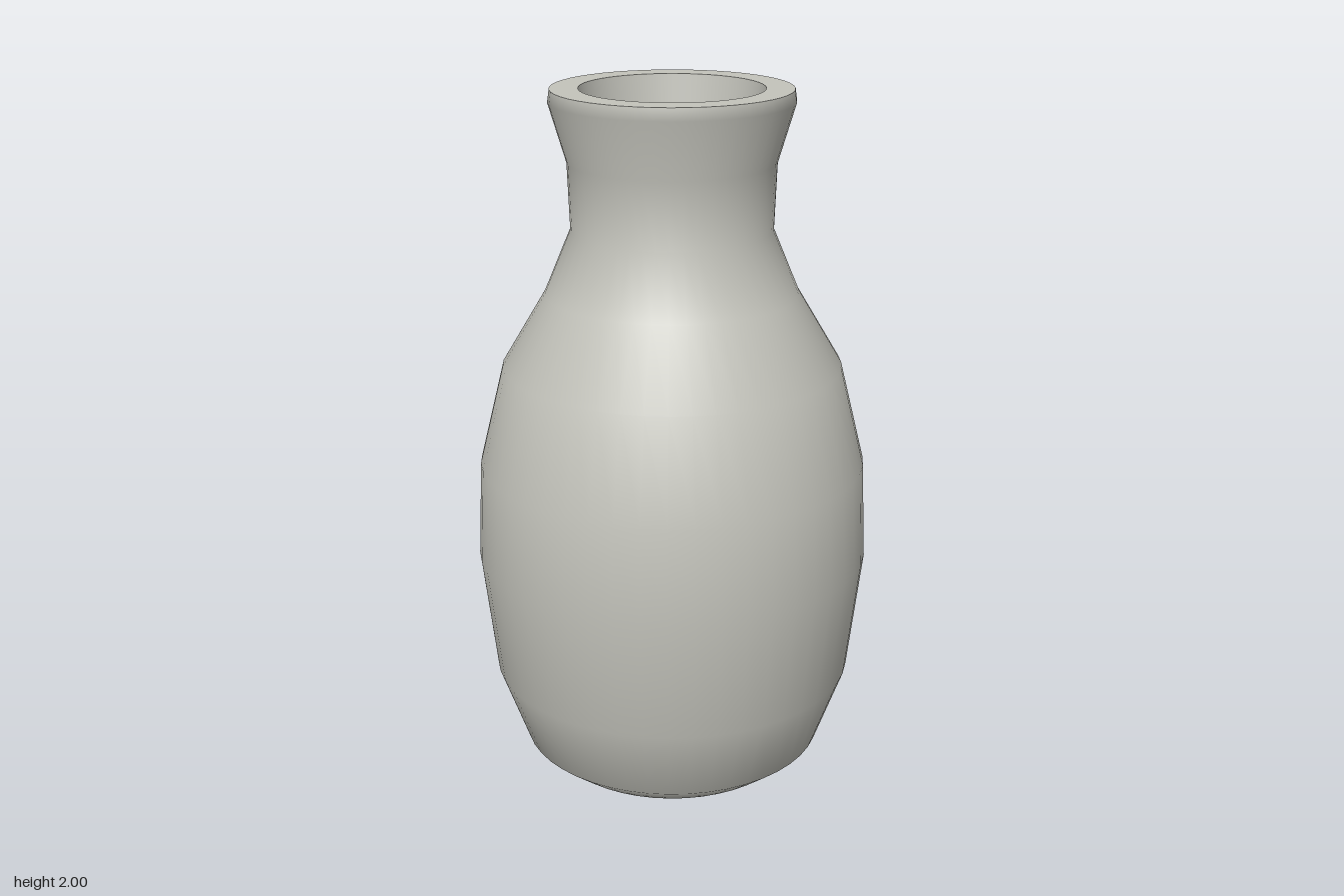
import * as THREE from 'three';

const SEGMENTS = 48;

export function createModel() {
  const group = new THREE.Group();
  group.name = 'bottle';

  const ceramic = new THREE.MeshStandardMaterial({ color: 0xc4c4bc });
  ceramic.name = 'pale grey ceramic';

  // Each part is a smooth lathe; separate parts meet at sharp edges
  const addLathe = (name, profile) => {
    const points = profile.map(([r, y]) => new THREE.Vector2(r, y));
    const mesh = new THREE.Mesh(new THREE.LatheGeometry(points, SEGMENTS), ceramic);
    mesh.name = name;
    group.add(mesh);
  };

  // Base, belly, shoulder, neck and flared lip
  addLathe('body', [
    [0, 0], [0.37, 0], [0.445, 0.06], [0.528, 0.29], [0.57, 0.65],
    [0.557, 0.93], [0.485, 1.22], [0.36, 1.43], [0.285, 1.61],
    [0.292, 1.8], [0.341, 1.965], [0.336, 2],
  ]);

  // Flat ring around the mouth
  addLathe('rim', [[0.336, 2], [0.257, 2]]);

  // Tapered inner wall of the mouth
  addLathe('mouthWall', [[0.257, 2], [0.23, 1.79]]);

  // Shallow dished floor inside the neck
  addLathe('mouthFloor', [[0.23, 1.79], [0.15, 1.76], [0.07, 1.743], [0, 1.74]]);

  return group;
}
